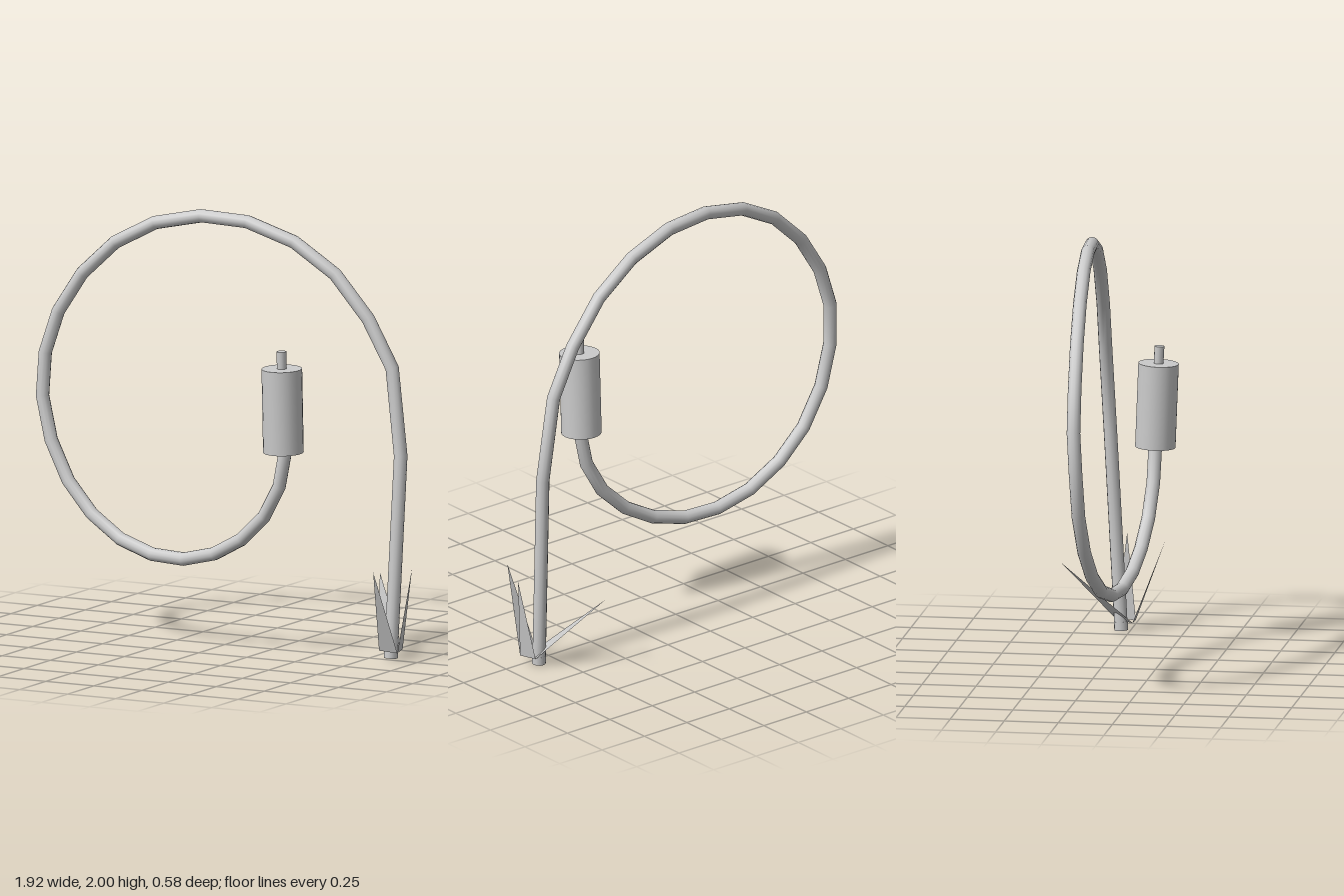
import * as THREE from 'three';

const material = new THREE.MeshStandardMaterial({ color: 0xcccccc });
const thinMaterial = new THREE.MeshStandardMaterial({ color: 0xcccccc, side: THREE.DoubleSide });
const v = (x, y, z) => new THREE.Vector3(x, y, z);

// Straight-segment path whose samples land exactly on its corners
class SegmentPath extends THREE.Curve {
  constructor(points) {
    super();
    this.points = points;
  }
  getPoint(t, target = new THREE.Vector3()) {
    const n = this.points.length - 1;
    const i = Math.min(Math.floor(t * n + 1e-9), n - 1);
    return target.lerpVectors(this.points[i], this.points[i + 1], t * n - i);
  }
  getPointAt(t, target) {
    return this.getPoint(t, target);
  }
  getTangentAt(t, target = new THREE.Vector3()) {
    const p = this.points, n = p.length - 1, i = Math.round(t * n);
    target.set(0, 0, 0);
    if (i > 0) target.add(p[i].clone().sub(p[i - 1]).normalize());
    if (i < n) target.add(p[i + 1].clone().sub(p[i]).normalize());
    return target.normalize();
  }
}

// Cylinder running from a to b
function rod(name, a, b, radiusA, radiusB, sides) {
  const axis = b.clone().sub(a);
  const mesh = new THREE.Mesh(new THREE.CylinderGeometry(radiusB, radiusA, axis.length(), sides), material);
  mesh.position.copy(a).lerp(b, 0.5);
  mesh.quaternion.setFromUnitVectors(v(0, 1, 0), axis.normalize());
  mesh.name = name;
  return mesh;
}

// Flat triangular blade
function blade(name, a, b, tip) {
  const geometry = new THREE.BufferGeometry().setFromPoints([a, b, tip]);
  geometry.computeVertexNormals();
  const mesh = new THREE.Mesh(geometry, thinMaterial);
  mesh.name = name;
  return mesh;
}

export function createModel() {
  const model = new THREE.Group();
  model.name = 'barbedWhip';

  // Lash: straight tail, then one large loop that drifts forward to the handle
  const tail = [v(0.84, 0, -0.042), v(0.862, 0.93, -0.096)];
  const back = [[0.81, 1.33], [0.69, 1.55], [0.525, 1.745], [0.32, 1.88], [0.085, 1.957],
    [-0.145, 1.968], [-0.375, 1.92], [-0.575, 1.815], [-0.74, 1.66], [-0.86, 1.475], [-0.925, 1.28]]
    .map(([x, y]) => v(x, y, -0.11 + (0.81 - x) * 0.074));
  const front = [[-0.933, 1.08], [-0.885, 0.88], [-0.79, 0.7], [-0.66, 0.56], [-0.5, 0.458], [-0.325, 0.405],
    [-0.15, 0.4], [0.02, 0.442], [0.17, 0.523], [0.295, 0.64], [0.38, 0.79], [0.415, 0.96]]
    .map(([x, y]) => v(x, y, 0.03 + (x + 0.933) * 0.114));
  const points = [...tail, ...back, ...front];
  const lash = new THREE.Mesh(
    new THREE.TubeGeometry(new SegmentPath(points), points.length - 1, 0.031, 12), material);
  lash.name = 'lash';
  model.add(lash);

  // Closed tip of the lash
  model.add(rod('lashTip', v(0.84, 0, -0.042), v(0.841, 0.04, -0.044), 0.032, 0.032, 12));

  // Handle and the small stud on top of it
  model.add(rod('handle', v(0.405, 0.952, 0.185), v(0.405, 1.342, 0.2), 0.093, 0.093, 24));
  model.add(rod('handleStud', v(0.405, 1.33, 0.2), v(0.405, 1.422, 0.204), 0.022, 0.023, 12));

  // Three barbs that share the corners of a triangle around the tip
  const p1 = v(0.81, 0.04, 0.015);
  const p2 = v(0.905, 0.035, 0.015);
  const p3 = v(0.885, 0.04, -0.072);
  model.add(blade('frontBarb', p1, p2, v(0.86, 0.43, 0.163)));
  model.add(blade('leftBarb', p2, p3, v(0.956, 0.43, -0.033)));
  model.add(blade('backBarb', p3, p1, v(0.648, 0.345, -0.289)));

  return model;
}
